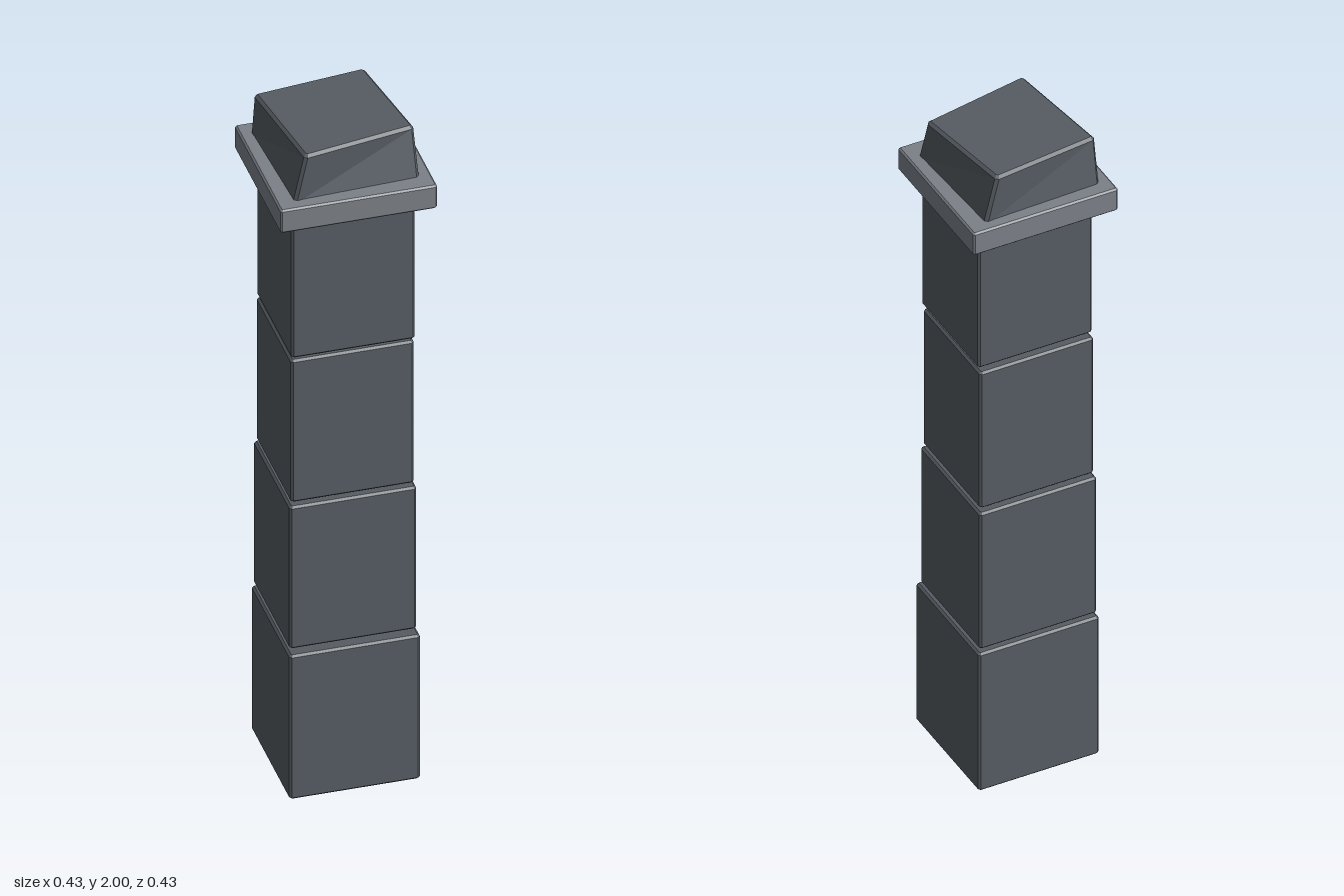
import * as THREE from 'three';

// Rectangle corners in plan, counterclockwise from front left
const rect = (x0, x1, z0, z1) => [[x0, z1], [x1, z1], [x1, z0], [x0, z0]];

// Plan outline with cut corners, moved inward by `inset`
function outline(corners, y, cut, inset) {
  const cx = corners.reduce((s, p) => s + p[0], 0) / 4;
  const cz = corners.reduce((s, p) => s + p[1], 0) / 4;
  const pts = corners.map(([x, z]) => {
    const k = 1 - inset * Math.SQRT2 / Math.hypot(x - cx, z - cz);
    return new THREE.Vector3(cx + (x - cx) * k, y, cz + (z - cz) * k);
  });
  return pts.flatMap((p, i) => [pts[(i + 3) % 4], pts[(i + 1) % 4]].map(
    (q) => p.clone().add(q.clone().sub(p).setLength(cut))));
}

// Four-sided stone with chamfered edges between a lower and an upper outline
function stoneGeometry(lower, upper, y0, y1, b) {
  const loops = [
    outline(lower, y0, b * 0.5, b),
    outline(lower, y0 + b, b, 0),
    outline(upper, y1 - b, b, 0),
    outline(upper, y1, b * 0.5, b),
  ];
  const v = [];
  const tri = (...pts) => pts.forEach((p) => v.push(p.x, p.y, p.z));
  for (let l = 0; l < 3; l++) {
    for (let i = 0; i < 8; i++) {
      const j = (i + 1) % 8;
      const [a, c, d, e] = [loops[l][i], loops[l][j], loops[l + 1][j], loops[l + 1][i]];
      tri(a, c, d);
      tri(a, d, e);
    }
  }
  for (let i = 1; i < 7; i++) {
    tri(loops[3][0], loops[3][i], loops[3][i + 1]);
    tri(loops[0][0], loops[0][i + 1], loops[0][i]);
  }
  const g = new THREE.BufferGeometry();
  g.setAttribute('position', new THREE.Float32BufferAttribute(v, 3));
  g.computeVertexNormals();
  return g;
}

export function createModel() {
  const group = new THREE.Group();
  const darkStone = new THREE.MeshStandardMaterial({ color: 0x555c62 });
  darkStone.name = 'dark stone';
  const lightStone = new THREE.MeshStandardMaterial({ color: 0x7b8087 });
  lightStone.name = 'light stone';

  const add = (name, material, lower, upper, y0, y1, bevel) => {
    const mesh = new THREE.Mesh(stoneGeometry(lower, upper, y0, y1, bevel), material);
    mesh.name = name;
    group.add(mesh);
  };

  // Shaft: four stacked blocks, slightly offset, with narrow open joints
  const blocks = [
    [-0.18, 0.175, -0.17, 0.184, 0, 0.449],
    [-0.175, 0.17, -0.166, 0.168, 0.459, 0.903],
    [-0.17, 0.165, -0.158, 0.162, 0.912, 1.356],
    [-0.17, 0.166, -0.15, 0.168, 1.366, 1.81],
  ];
  blocks.forEach(([x0, x1, z0, z1, y0, y1], i) => {
    const r = rect(x0, x1, z0, z1);
    add(`shaftBlock${i + 1}`, darkStone, r, r, y0, y1, 0.006);
  });

  // Projecting collar
  const collar = rect(-0.213, 0.213, -0.213, 0.213);
  add('collar', lightStone, collar, collar, 1.793, 1.865, 0.005);

  // Twisted, tapering capstone
  const capBase = [[-0.167, 0.179], [0.18, 0.162], [0.163, -0.182], [-0.181, -0.171]];
  const capTop = [[-0.137, 0.179], [0.177, 0.122], [0.13, -0.183], [-0.181, -0.146]];
  add('capstone', darkStone, capBase, capTop, 1.85, 2, 0.008);

  return group;
}
